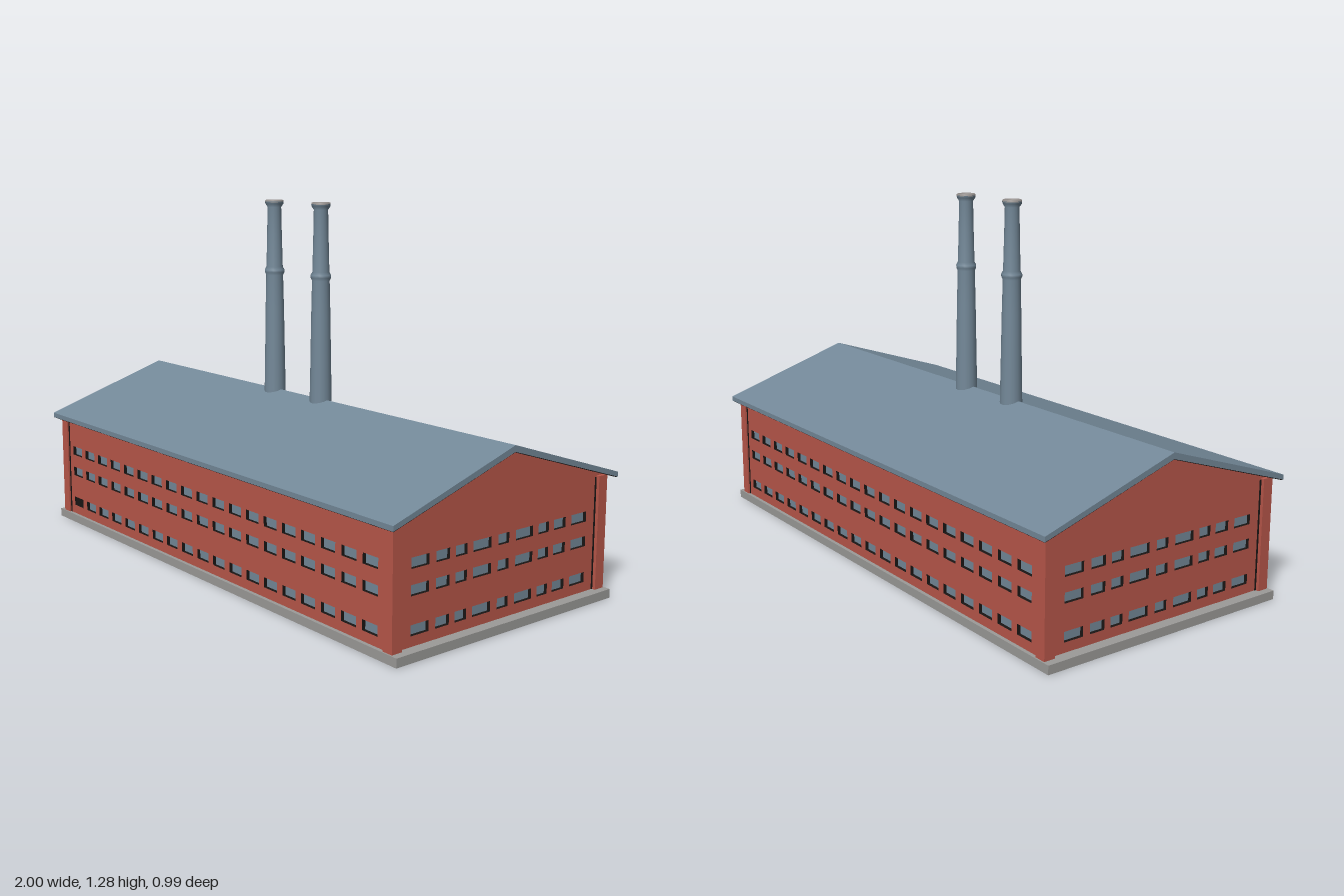
import * as THREE from 'three';

const mat = (name, color) => new THREE.MeshStandardMaterial({ name, color });

export function createModel() {
  const brick = mat('brick red', 0xb9574a);
  const slate = mat('slate blue', 0x748999);
  const stone = mat('stone grey', 0x9c9b99);
  const dark = mat('shadow black', 0x1a1615);
  const rimGrey = mat('rim grey', 0x938e8b);

  const factory = new THREE.Group();
  factory.name = 'factory';
  const add = (name, geometry, material, parent = factory) => {
    const mesh = new THREE.Mesh(geometry, material);
    mesh.name = name;
    parent.add(mesh);
    return mesh;
  };
  const box = (name, w, h, d, x, y, z, material, parent) => {
    const mesh = add(name, new THREE.BoxGeometry(w, h, d), material, parent);
    mesh.position.set(x, y, z);
    return mesh;
  };
  const polygon = (pts) => new THREE.Shape(pts.map(([x, y]) => new THREE.Vector2(x, y)));

  // Foundation slab with dark underside, and the glazed core behind the walls
  box('foundation', 2, 0.03, 0.95, 0, 0.015, 0, [stone, stone, stone, dark, stone, stone]);
  box('glazing', 1.9, 0.36, 0.9, 0, 0.21, 0, slate);

  // Brick walls pierced by three rows of windows
  const rows = [[0.08, 0.034], [0.202, 0.034], [0.285, 0.034]];
  const addWall = (name, outline, columns, distance, angle) => {
    const shape = polygon(outline);
    for (const [y, h] of rows) {
      for (const [x, w] of columns) {
        const hole = new THREE.Path();
        hole.moveTo(x - w / 2, y - h / 2);
        hole.lineTo(x - w / 2, y + h / 2);
        hole.lineTo(x + w / 2, y + h / 2);
        hole.lineTo(x + w / 2, y - h / 2);
        hole.closePath();
        shape.holes.push(hole);
      }
    }
    const geometry = new THREE.ExtrudeGeometry(shape, { depth: 0.012, bevelEnabled: false });
    geometry.translate(0, 0, distance - 0.012);
    const wall = add(name, geometry, [brick, dark]);
    wall.rotation.y = angle;
  };
  const longOutline = [[-0.962, 0.03], [0.962, 0.03], [0.962, 0.415], [-0.962, 0.415]];
  const longColumns = Array.from({ length: 19 }, (_, i) => [-0.87 + (i * 1.74) / 18, 0.068]);
  addWall('frontWall', longOutline, longColumns, 0.462, 0);
  addWall('backWall', longOutline, longColumns, 0.462, Math.PI);

  const gableOutline = [[-0.462, 0.03], [0.462, 0.03], [0.462, 0.415], [0, 0.565], [-0.462, 0.415]];
  const half = [[0.093, 0.078], [0.182, 0.048], [0.258, 0.056], [0.35, 0.072]];
  const gableColumns = [[0, 0.048], ...half, ...half.map(([x, w]) => [-x, w])];
  addWall('leftGable', gableOutline, gableColumns, 0.962, Math.PI / 2);
  addWall('rightGable', gableOutline, gableColumns, 0.962, -Math.PI / 2);

  // One blacked-out window at the front
  box('darkWindow', 0.066, 0.033, 0.006, -0.87, 0.08, 0.454, dark);

  // Corner pilasters with dark joints
  for (const sx of [-1, 1]) {
    for (const sz of [-1, 1]) {
      box('pilaster', 0.04, 0.385, 0.04, sx * 0.955, 0.2225, sz * 0.45, brick);
      box('frontJoint', 0.006, 0.38, 0.003, sx * 0.932, 0.22, sz * 0.4625, dark);
      box('sideJoint', 0.003, 0.38, 0.006, sx * 0.9625, 0.22, sz * 0.427, dark);
    }
  }

  // Pitched roof slab with a dark soffit
  const chevron = (eaveTop, ridgeTop, eaveLow, ridgeLow, reach, length) => {
    const shape = polygon([[-reach, eaveLow], [0, ridgeLow], [reach, eaveLow],
      [reach, eaveTop], [0, ridgeTop], [-reach, eaveTop]]);
    const geometry = new THREE.ExtrudeGeometry(shape, { depth: length, bevelEnabled: false });
    return geometry.translate(0, 0, -length / 2).rotateY(Math.PI / 2);
  };
  add('roof', chevron(0.425, 0.585, 0.408, 0.564, 0.493, 2), slate);
  add('soffit', chevron(0.409, 0.565, 0.406, 0.562, 0.491, 1.996), dark);

  // Twin chimneys: tapered shaft with a mid band, grey rim and dark bore
  const lathe = (pts) => new THREE.LatheGeometry(pts.map(([r, y]) => new THREE.Vector2(r, y)), 16);
  const shaft = lathe([[0.04, 0.55], [0.037, 0.7], [0.034, 0.88], [0.031, 1.005], [0.036, 1.015],
    [0.036, 1.024], [0.03, 1.035], [0.027, 1.15], [0.025, 1.25], [0.033, 1.262], [0.034, 1.27]]);
  const rim = lathe([[0.034, 1.268], [0.033, 1.274], [0.029, 1.276], [0.022, 1.274], [0.019, 1.268]]);
  const bore = lathe([[0.019, 1.269], [0.018, 1.25], [0.017, 1.23]]);
  const flue = lathe([[0.018, 1.232], [0, 1.232]]);
  for (const x of [-0.197, 0.07]) {
    const chimney = new THREE.Group();
    chimney.name = 'chimney';
    chimney.position.set(x, 0, -0.002);
    factory.add(chimney);
    add('shaft', shaft, slate, chimney);
    add('rim', rim, rimGrey, chimney);
    add('bore', bore, dark, chimney);
    add('flueFloor', flue, slate, chimney);
  }
  return factory;
}
